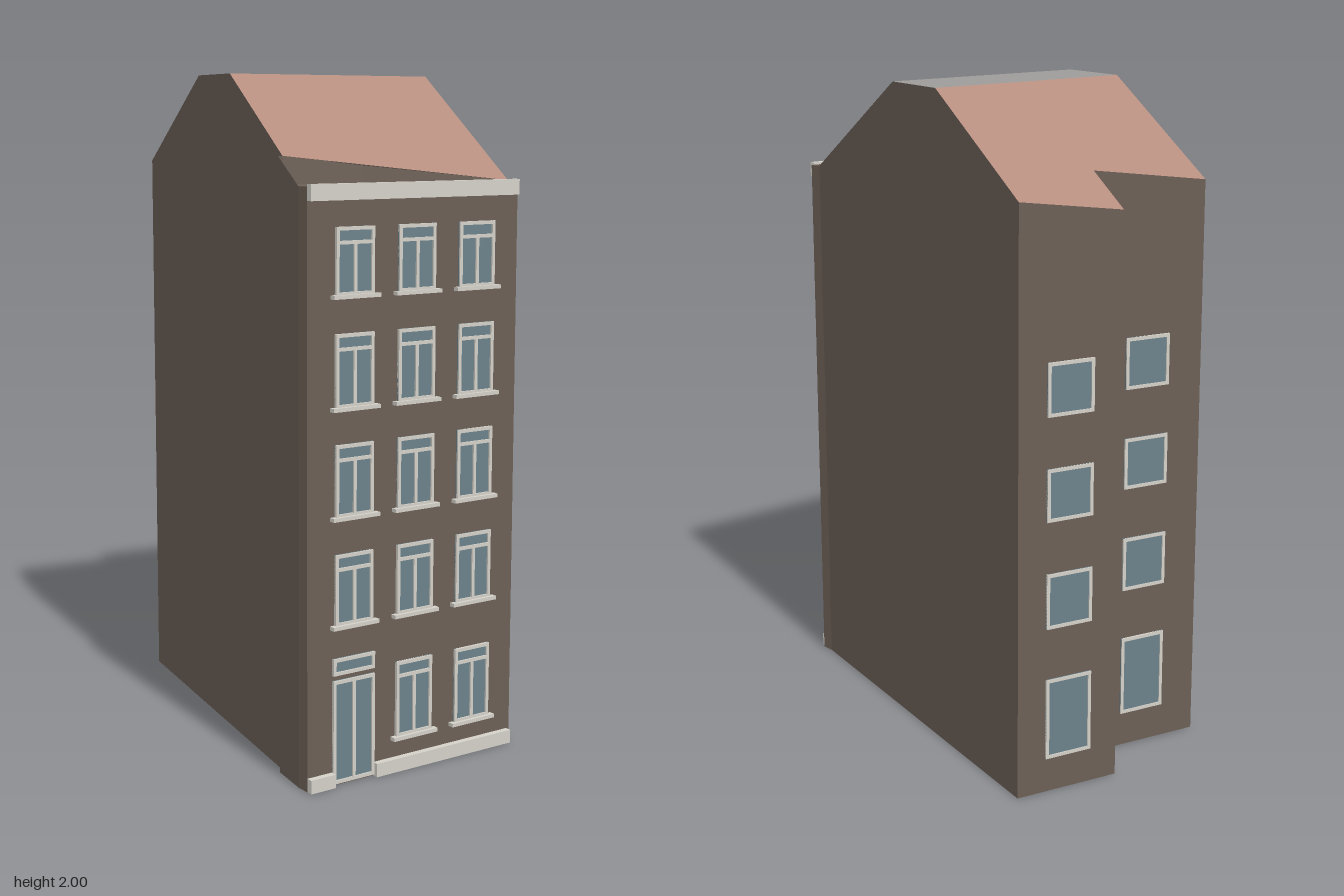
import * as THREE from 'three';

const mat = (name, color, side = THREE.FrontSide) => {
  const m = new THREE.MeshStandardMaterial({ color, side });
  m.name = name;
  return m;
};

export function createModel() {
  const model = new THREE.Group();
  model.name = 'townhouse';
  const brown = mat('brown render', 0x6c6056, THREE.DoubleSide);
  const tile = mat('clay tile', 0xb58d7e, THREE.DoubleSide);
  const grey = mat('flat roof grey', 0x9e9c9a, THREE.DoubleSide);
  const trim = mat('pale trim', 0xd4d1c9);
  const glass = mat('window glass', 0x6c828b);

  // Roof profile along z: two slopes with a flat ridge
  const FRONT = 0.1, BACK = -0.165, EAVE = 1.69, WALL = 0.675;
  const height = (z) => Math.max(EAVE, 2 - 0.58 * Math.max(0, z - FRONT, BACK - z));
  const eave = () => EAVE;

  // Skewed plan corners [x, z]
  const A = [0.503, -0.625], B = [0.235, 0.632], C = [0.235, WALL], D = [-0.51, WALL];
  const E = [-0.51, 0.635], F = [-0.485, 0.5], G = [-0.47, 0.5], H = [-0.23, -0.63];
  const I = [0.145, -0.545], J = [0.18, -0.7], K = [-0.23, 0.549], K2 = [-0.243, WALL];
  const RF = [0.348, FRONT], RB = [0.405, BACK], LF = [-0.385, FRONT], LB = [-0.329, BACK];

  const add = (parent, name, geometry, material) => {
    const mesh = new THREE.Mesh(geometry, material);
    mesh.name = name;
    parent.add(mesh);
    return mesh;
  };
  const surface = (name, positions, material) => {
    const g = new THREE.BufferGeometry();
    g.setAttribute('position', new THREE.Float32BufferAttribute(positions, 3));
    g.computeVertexNormals();
    return add(model, name, g, material);
  };

  // Plan polygon lifted to a height rule; faces up unless down is set
  const panel = (name, pts, y, material, down = false) => {
    const contour = pts.map(([x, z]) => new THREE.Vector2(x, -z));
    if (THREE.ShapeUtils.isClockWise(contour)) { contour.reverse(); }
    const pos = [];
    for (const tri of THREE.ShapeUtils.triangulateShape(contour, [])) {
      for (const i of down ? tri.reverse() : tri) {
        const p = contour[i];
        pos.push(p.x, y(-p.y), -p.y);
      }
    }
    surface(name, pos, material);
  };

  // Upright walls along a plan path, from a base to the roof line
  const walls = (name, path, base, top) => {
    const pos = [];
    for (let i = 0; i + 1 < path.length; i++) {
      const [x1, z1] = path[i], [x2, z2] = path[i + 1];
      const a = [x1, base, z1], b = [x2, base, z2];
      const c = [x2, top(z2), z2], d = [x1, top(z1), z1];
      pos.push(...a, ...b, ...c, ...a, ...c, ...d);
    }
    surface(name, pos, brown);
  };

  walls('outerWalls', [D, C, B, RF, RB, A, J, I, H, LB, LF, G, F, E, D], 0, height);
  walls('eaveWall', [G, K, B], EAVE, height);
  panel('frontRoof', [G, B, RF, LF], height, tile);
  panel('ridgeRoof', [LF, RF, RB, LB], height, grey);
  panel('backRoof', [LB, RB, A, J, I, H], height, tile);
  panel('frontLedge', [F, G, K, B, C, K2, E], eave, brown);
  panel('ledgeCorner', [E, [-0.24, 0.635], K2], eave, grey);
  panel('floor', [A, B, K, K2, D, E, F, G, H, I, J], () => 0, brown, true);

  // Box given by its limits
  const bar = (parent, name, x0, x1, y0, y1, z0, z1, material = trim) => {
    const m = add(parent, name, new THREE.BoxGeometry(x1 - x0, y1 - y0, z1 - z0), material);
    m.position.set((x0 + x1) / 2, (y0 + y1) / 2, (z0 + z1) / 2);
  };

  // Glazed opening in local coordinates, wall plane at z = 0
  const opening = (name, w, y0, y1, { transom = 0, mullion = false, sill = false, t = 0.01, depth = 0.009 } = {}) => {
    const g = new THREE.Group();
    g.name = name;
    const h = w / 2;
    bar(g, 'glass', -h, h, y0, y1, 0, 0.004, glass);
    for (const s of [-1, 1]) {
      const c = s * (h - t / 2);
      bar(g, 'frameSide', c - t / 2, c + t / 2, y0, y1, 0, depth);
    }
    bar(g, 'frameTop', -h + t, h - t, y1 - t, y1, 0, depth);
    bar(g, 'frameBottom', -h + t, h - t, y0, y0 + t, 0, depth);
    const split = transom ? y1 - transom : y1 - t;
    if (transom) bar(g, 'transom', -h + t, h - t, split - t, split, 0, depth);
    if (mullion) bar(g, 'mullion', -0.005, 0.005, y0 + t, split - (transom ? t : 0), 0, depth);
    if (sill) bar(g, 'sill', -0.08, 0.08, y0 - 0.008, y0 + 0.003, 0, 0.019);
    model.add(g);
    return g;
  };

  // Front windows: three columns, ground floor left is the door
  const rows = [[0.1, 0.325], [0.465, 0.67], [0.775, 0.98], [1.082, 1.288], [1.392, 1.58]];
  const columns = [-0.353, -0.137, 0.08];
  rows.forEach(([y0, y1], r) => columns.forEach((x, c) => {
    if (r === 0 && c === 0) return;
    opening('frontWindow', 0.13, y0, y1, { transom: 0.038, mullion: true, sill: true })
      .position.set(x, 0, WALL);
  }));
  opening('frontDoor', 0.145, 0.006, 0.308, { mullion: true }).position.set(-0.353, 0, WALL);
  opening('doorFanlight', 0.145, 0.323, 0.372).position.set(-0.353, 0, WALL);

  // Cornice and plinth
  bar(model, 'cornice', -0.51, 0.225, 1.652, 1.697, WALL, 0.695);
  bar(model, 'plinth', -0.51, -0.426, 0, 0.04, WALL, 0.695);
  bar(model, 'plinth', -0.28, 0.225, 0, 0.04, WALL, 0.695);

  // Back windows, one column on each angled rear wall
  for (const [p, q] of [[H, I], [J, A]]) {
    const dx = q[0] - p[0], dz = q[1] - p[1];
    for (const [y0, y1] of [[0.105, 0.35], [0.505, 0.67], [0.825, 0.98], [1.13, 1.285]]) {
      const w = opening('backWindow', 0.15, y0, y1, { depth: 0.007 });
      w.position.set((p[0] + q[0]) / 2, 0, (p[1] + q[1]) / 2);
      w.rotation.y = Math.atan2(dz, -dx);
    }
  }
  return model;
}
